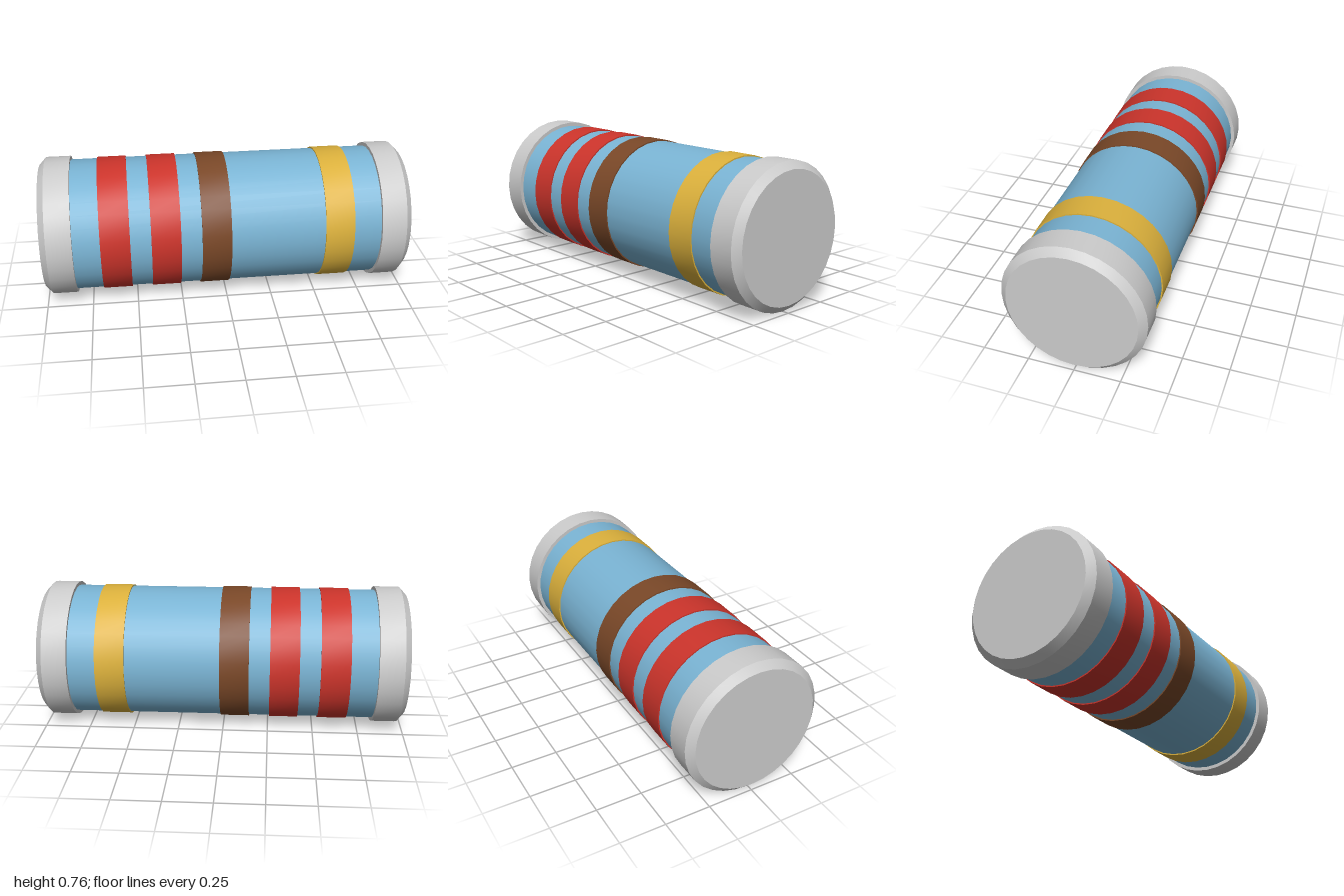
import * as THREE from 'three';
import { toCreasedNormals } from 'three/addons/utils/BufferGeometryUtils.js';

const SIDES = 32;
const RADIUS = 0.381; // end cap radius, also the height of the axis

// Solid of revolution from [radius, position along axis] pairs
function turned(name, profile, color) {
  const points = profile.map(([r, a]) => new THREE.Vector2(r, a));
  const geometry = toCreasedNormals(new THREE.LatheGeometry(points, SIDES), 0.5);
  const mesh = new THREE.Mesh(geometry, new THREE.MeshStandardMaterial({ color }));
  mesh.name = name;
  mesh.rotation.z = -Math.PI / 2; // lay the axis along +x
  return mesh;
}

// Closed cylinder between two positions along the axis
const drum = (name, r, from, to, color) =>
  turned(name, [[0, from], [r, from], [r, to], [0, to]], color);

export function createModel() {
  const model = new THREE.Group();
  model.name = 'resistor';
  const axis = new THREE.Group();
  axis.name = 'componentBody';
  axis.position.y = RADIUS;
  model.add(axis);

  // Coated core
  axis.add(drum('core', 0.361, -0.9, 0.9, 0x7ab4d4));

  // Raised colour bands
  const bands = [
    ['firstBand', -0.606, 0xcc342b],
    ['secondBand', -0.336, 0xcc342b],
    ['multiplierBand', -0.066, 0x7a4828],
    ['toleranceBand', 0.602, 0xdcb13c],
  ];
  for (const [name, x, color] of bands) {
    axis.add(drum(name, 0.368, x - 0.079, x + 0.079, color));
  }

  // Chamfered metal end caps, mirrored
  const capProfile = [[0, 0.83], [RADIUS, 0.83], [RADIUS, 0.965], [0.343, 1], [0, 1]];
  for (const side of [1, -1]) {
    const cap = turned(side > 0 ? 'leftCap' : 'rightCap', capProfile, 0xcccccc);
    cap.rotation.z *= side;
    axis.add(cap);
  }

  return model;
}
